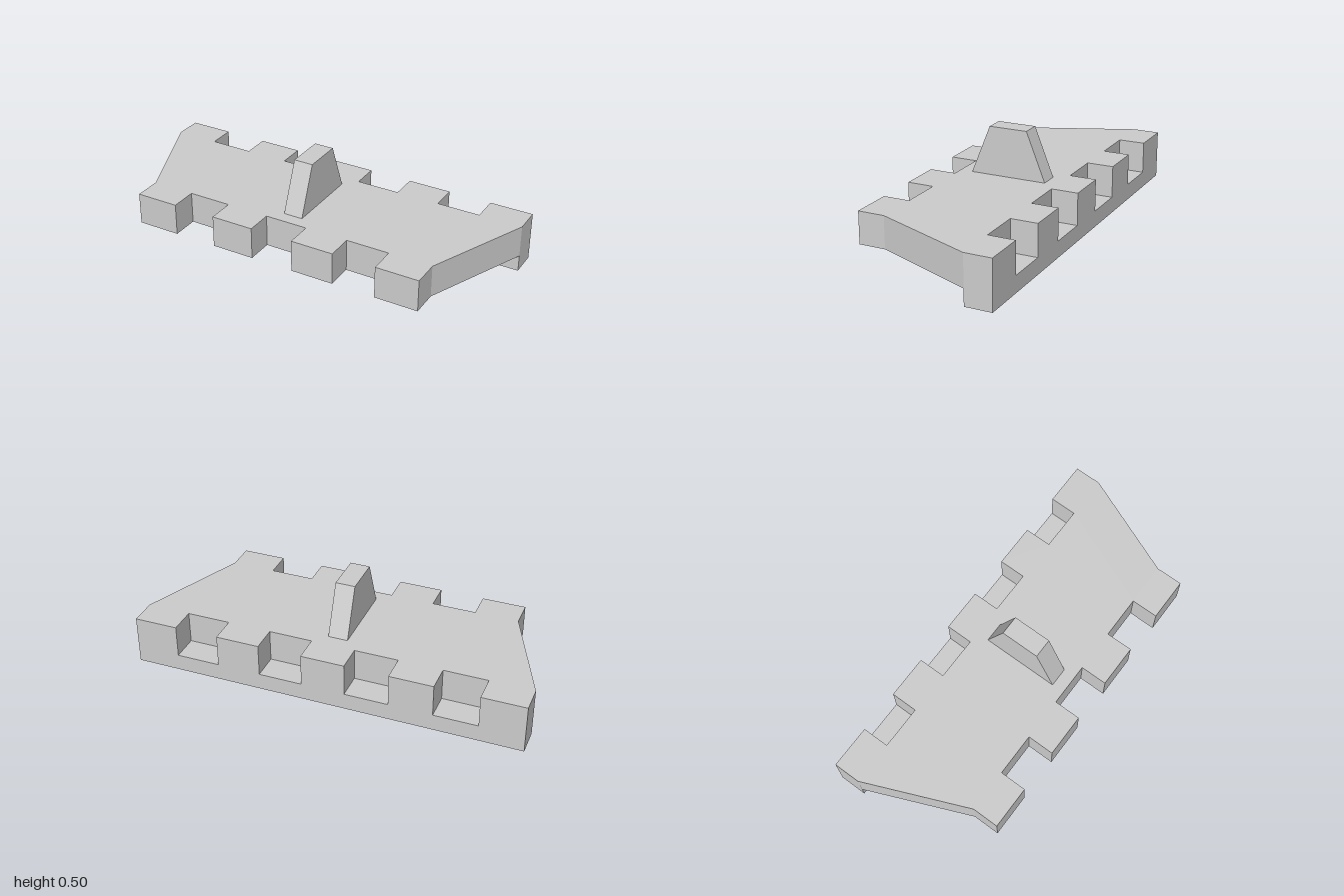
import * as THREE from 'three';

const BACK = -0.403, FRONT = 0.403, INNER = 0.265;
const LOW = 0.085, DECK = 0.25, STEP = 1 / 9;

export function createModel() {
  const model = new THREE.Group();
  const material = new THREE.MeshStandardMaterial({ color: 0xcccccc });
  const add = (name, geometry) => {
    const mesh = new THREE.Mesh(geometry, material);
    mesh.name = name;
    model.add(mesh);
    return mesh;
  };

  // Deck outline in plan: teeth along the front, matching notches along the back
  const outline = [];
  const starts = [-7, -3, 1, 5].map((n) => n * STEP);
  outline.push([-1, BACK], [-1, -INNER]);
  for (const x of starts) {
    outline.push([x, INNER], [x, FRONT], [x + 2 * STEP, FRONT], [x + 2 * STEP, INNER]);
  }
  outline.push([1, -INNER], [1, BACK]);
  for (const x of [...starts].reverse()) {
    outline.push([x + 2 * STEP, BACK], [x + 2 * STEP, -INNER], [x, -INNER], [x, BACK]);
  }
  const deckShape = new THREE.Shape(outline.map(([x, z]) => new THREE.Vector2(x, -z)));
  const deck = new THREE.ExtrudeGeometry(deckShape, { depth: DECK - LOW, bevelEnabled: false });
  deck.rotateX(-Math.PI / 2);
  add('toothedDeck', deck).position.y = LOW;

  // Full-width bar under the back edge, which closes the notches from below
  const barDepth = -INNER - BACK;
  add('backBar', new THREE.BoxGeometry(2, LOW, barDepth))
    .position.set(0, LOW / 2, BACK + barDepth / 2);

  // Tapered upright fin in the middle
  const finShape = new THREE.Shape(
    [[-0.2, DECK], [0.2, DECK], [0.1, 0.5], [-0.1, 0.5]].map(([z, y]) => new THREE.Vector2(z, y))
  );
  const fin = new THREE.ExtrudeGeometry(finShape, { depth: 0.1, bevelEnabled: false });
  fin.translate(0, 0, -0.05).rotateY(Math.PI / 2);
  add('centreFin', fin);

  return model;
}
